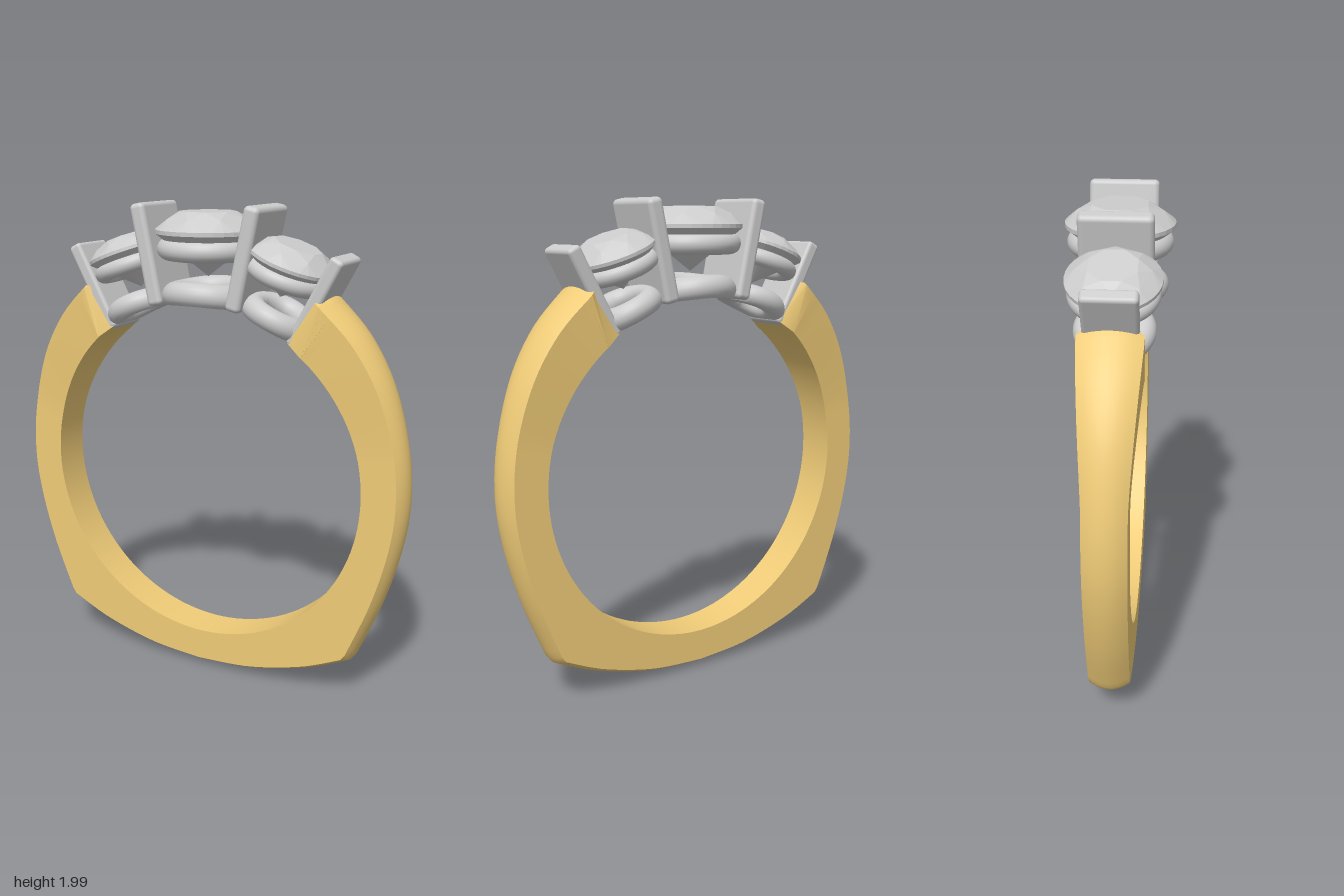
import * as THREE from 'three';
import { toCreasedNormals } from 'three/addons/utils/BufferGeometryUtils.js';
import { RoundedBoxGeometry } from 'three/addons/geometries/RoundedBoxGeometry.js';
import { ConvexGeometry } from 'three/addons/geometries/ConvexGeometry.js';

const CY = 0.89, BORE = 0.72; // finger hole centre height and radius

const silver = new THREE.MeshStandardMaterial({ color: 0xcccccc });
const gold = new THREE.MeshStandardMaterial({ color: 0xf0cc78 });

function add(parent, name, geometry, material) {
  const mesh = new THREE.Mesh(geometry, material);
  mesh.name = name;
  parent.add(mesh);
  return mesh;
}

const spline = (pts, n) =>
  new THREE.SplineCurve(pts.map(p => new THREE.Vector2(...p))).getPoints(n);

// Band: domed cross-sections swept from the right shoulder, under, to the left one
function bandGeometry() {
  const base = spline([[0, 0.005], [0.25, 0.026], [0.5, 0.092], [0.685, 0.175]], 16);
  const side = spline([[0.703, 0.2], [0.8, 0.44], [0.867, 0.68], [0.891, 0.89],
    [0.87, 1.11], [0.8, 1.34], [0.69, 1.525], [0.55, 1.665]], 36);
  const half = [...base, ...side].map(p => {
    const t = THREE.MathUtils.clamp((p.y - 1.1) / 0.55, 0, 1);
    // angle from the top, held back near the end to leave a wedge
    const a = Math.max(Math.atan2(p.x, p.y - CY), 0.705);
    return { p, a, w: 0.083 + 0.038 * Math.pow(t, 1.3) };
  });
  const tip = new THREE.Vector2(0.525, 1.68);
  half.push({ p: tip, a: Math.atan2(tip.x, tip.y - CY), w: 0.098 });

  const section = ({ p, a, w }, s) => {
    const ix = s * BORE * Math.sin(a), iy = CY + BORE * Math.cos(a);
    const r = Math.hypot(p.x, p.y - CY);
    const pts = [[ix, iy, -w]];
    for (let i = 0; i <= 10; i++) {
      const v = i / 5 - 1, k = (r - 0.03 * v * v) / r;
      pts.push([s * p.x * k, CY + (p.y - CY) * k, w * v]);
    }
    pts.push([ix, iy, w]);
    return pts;
  };
  const rows = [...half.slice().reverse().map(h => section(h, 1)),
    ...half.slice(1).map(h => section(h, -1))];
  const n = rows[0].length, index = [];
  for (let s = 0; s < rows.length - 1; s++) {
    for (let i = 0; i < n; i++) {
      const j = (i + 1) % n, a = s * n + i, d = s * n + j;
      index.push(a, d, a + n, d, d + n, a + n);
    }
  }
  const last = (rows.length - 1) * n;
  for (let i = 1; i < n - 1; i++) {
    index.push(0, i + 1, i, last, last + i, last + i + 1);
  }
  const g = new THREE.BufferGeometry();
  g.setAttribute('position', new THREE.Float32BufferAttribute(rows.flat(2), 3));
  g.setIndex(index);
  return toCreasedNormals(g, 0.5);
}

// Brilliant-cut stone with its girdle at the origin
function stoneGeometry() {
  const pts = [new THREE.Vector3(0, -0.18, 0)];
  const ring = (n, r, y, shift) => {
    for (let i = 0; i < n; i++) {
      const a = (i + shift) / n * Math.PI * 2;
      pts.push(new THREE.Vector3(r * Math.cos(a), y, r * Math.sin(a)));
    }
  };
  ring(8, 0.115, 0.078, 0.5);
  ring(8, 0.168, 0.05, 0);
  ring(32, 0.214, 0.008, 0);
  ring(32, 0.214, -0.008, 0);
  ring(8, 0.11, -0.092, 0.5);
  return new ConvexGeometry(pts);
}

// Gallery ring bent round the bore, its underside trimmed flush with the bore
function galleryGeometry(radius, tube) {
  const g = new THREE.TorusGeometry(radius, tube, 20, 48).rotateX(Math.PI / 2);
  const pos = g.attributes.position;
  for (let i = 0; i < pos.count; i++) {
    const x = pos.getX(i);
    const floor = Math.sqrt(BORE * BORE - x * x);
    pos.setY(i, Math.max(floor, floor + 0.04 + pos.getY(i)));
  }
  return toCreasedNormals(g, 0.6);
}

// Stone and the round wire it sits on
function setting(name, x, y, tilt, scale) {
  const group = new THREE.Group();
  group.name = name;
  add(group, 'stone', stoneGeometry(), silver);
  const seat = new THREE.TorusGeometry(0.165, 0.042, 20, 56).rotateX(Math.PI / 2);
  add(group, 'seatRing', seat, silver).position.y = -0.07;
  group.position.set(x, y, 0);
  group.rotation.z = -tilt;
  group.scale.setScalar(scale);
  return group;
}

export function createModel() {
  const model = new THREE.Group();
  model.name = 'threeStoneRing';
  add(model, 'band', bandGeometry(), gold);

  // Centre stone
  model.add(setting('centreSetting', 0, 1.89, 0, 1));
  add(model, 'centreGallery', galleryGeometry(0.14, 0.05), silver).position.y = CY;

  for (const [s, label] of [[1, 'left'], [-1, 'right']]) {
    // Side stone
    model.add(setting(label + 'Setting', s * 0.372, 1.79, s * 0.35, 0.835));
    const gallery = add(model, label + 'Gallery', galleryGeometry(0.11, 0.046), silver);
    gallery.position.y = CY;
    gallery.rotation.z = -s * 0.435;

    // Bars holding the stones
    const inner = add(model, label + 'InnerBar',
      new RoundedBoxGeometry(0.066, 0.412, 0.28, 4, 0.02), silver);
    inner.position.set(s * 0.216, 1.795, 0);
    inner.rotation.z = -s * 0.205;

    const outer = add(model, label + 'OuterBar',
      new RoundedBoxGeometry(0.058, 0.385, 0.205, 4, 0.016), silver);
    outer.position.set(s * 0.504, 1.645, 0);
    outer.rotation.z = -s * 0.49;
  }
  return model;
}
